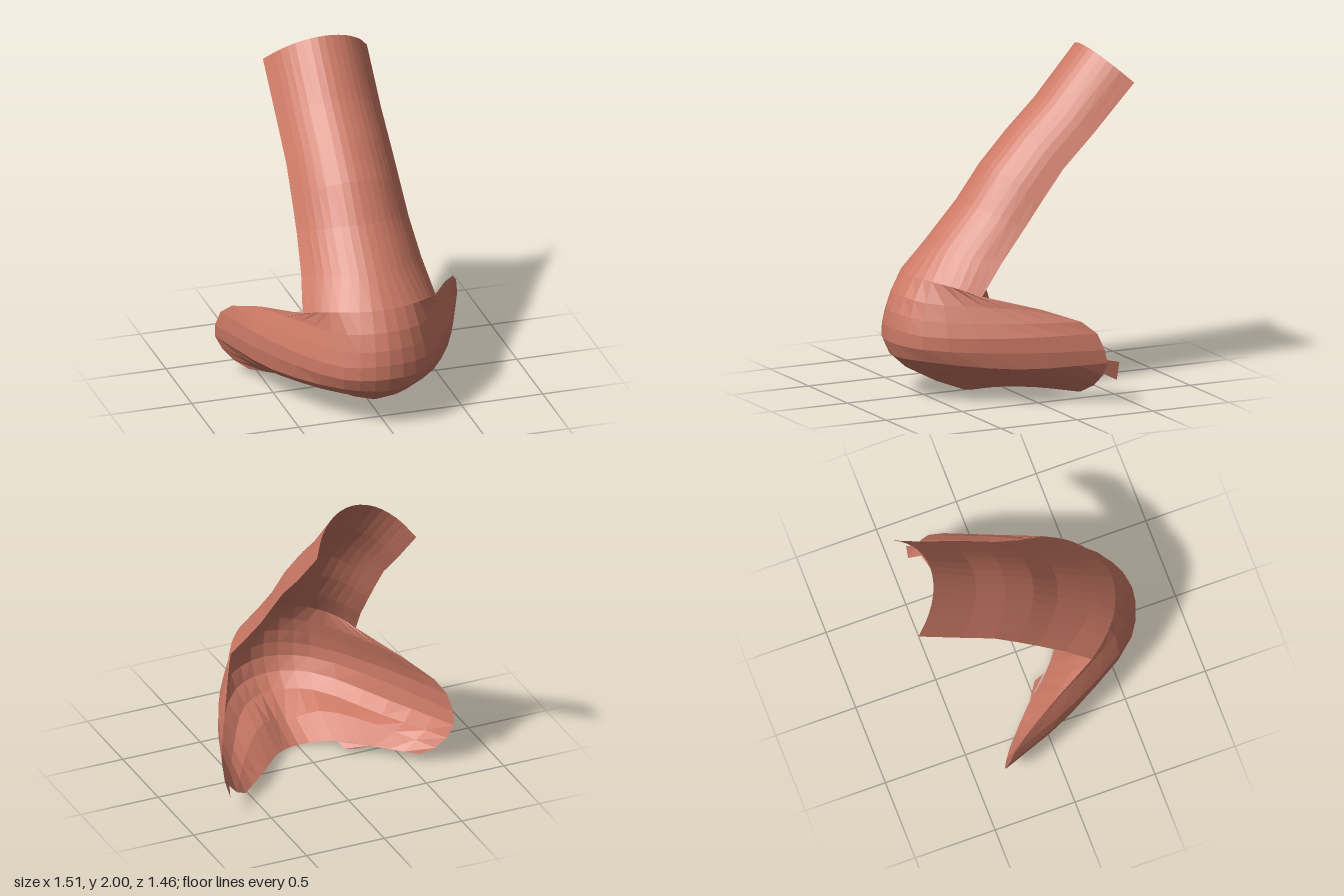
import * as THREE from 'three';

const SKIN = new THREE.MeshStandardMaterial({ color: 0xcd7a66, flatShading: true, side: THREE.DoubleSide });
SKIN.name = 'skin';

// Bridge sections: centre y, z, then edge x, y, z
const BRIDGE = [
  [2.0, -0.54, 0.32, 1.81, -0.73],
  [1.7, -0.275, 0.32, 1.53, -0.46],
  [1.53, -0.095, 0.325, 1.34, -0.26],
  [1.34, 0.085, 0.335, 1.17, -0.12],
  [1.13, 0.24, 0.345, 1.02, 0.0],
  [0.89, 0.455, 0.37, 0.83, 0.165],
];

// Tip and wing sections: centre, two points along the side, rear edge
const WINGS = [
  [[0, 0.73, 0.6], [0.2, 0.72, 0.54], [0.33, 0.69, 0.43], [0.41, 0.645, 0.32]],
  [[0, 0.62, 0.67], [0.22, 0.6, 0.59], [0.42, 0.585, 0.3], [0.57, 0.57, 0]],
  [[0, 0.52, 0.71], [0.24, 0.5, 0.61], [0.48, 0.49, 0.25], [0.68, 0.5, -0.2]],
  [[0, 0.43, 0.725], [0.25, 0.41, 0.63], [0.53, 0.41, 0.2], [0.725, 0.43, -0.28]],
  [[0, 0.34, 0.725], [0.25, 0.33, 0.63], [0.55, 0.32, 0.16], [0.745, 0.33, -0.32]],
  [[0, 0.25, 0.69], [0.24, 0.25, 0.59], [0.54, 0.22, 0.14], [0.74, 0.25, -0.34]],
  [[0, 0.175, 0.61], [0.22, 0.18, 0.5], [0.48, 0.155, 0.1], [0.7, 0.17, -0.33]],
  [[0, 0.07, 0.41], [0.18, 0.135, 0.33], [0.42, 0.13, 0.05], [0.64, 0.1, -0.3]],
  [[0, 0, 0.23], [0.18, 0.04, 0.12], [0.35, 0.055, -0.06], [0.56, 0.05, -0.25]],
];

// Turn a bridge section into the same four-point form
function bridgeSection([cy, cz, ex, ey, ez]) {
  return [[0, 0], [0.4, 0.13], [0.75, 0.5], [1, 1]].map(([s, f]) =>
    [ex * s, cy + (ey - cy) * f, cz + (ez - cz) * f]);
}

// Mirror a half section and smooth it into a full row of points
function fullRow(half, columns) {
  const right = half.map(p => new THREE.Vector3(...p));
  const left = half.slice(1).reverse().map(([x, y, z]) => new THREE.Vector3(-x, y, z));
  return new THREE.CatmullRomCurve3([...left, ...right]).getPoints(columns);
}

// Skin a list of equal-length rows
function loft(rows) {
  const n = rows[0].length;
  const index = [];
  for (let i = 0; i < rows.length - 1; i++) {
    for (let j = 0; j < n - 1; j++) {
      const a = i * n + j, b = a + n;
      index.push(a, b, b + 1, a, b + 1, a + 1);
    }
  }
  const geometry = new THREE.BufferGeometry().setFromPoints(rows.flat());
  geometry.setIndex(index);
  geometry.computeVertexNormals();
  return geometry;
}

// Small ragged flap from four corners
function flap(corners) {
  const [a, b, c, d] = corners.map(p => new THREE.Vector3(...p));
  return loft([[a, b], [d, c]]);
}

export function createModel() {
  const group = new THREE.Group();
  group.name = 'nose';
  const add = (name, geometry) => {
    const mesh = new THREE.Mesh(geometry, SKIN);
    mesh.name = name;
    group.add(mesh);
    return mesh;
  };

  // Open shell: bridge, tip and wings, meeting on a shared row
  const columns = 18;
  const wingRows = WINGS.map(half => fullRow(half, columns));
  const bridgeRows = BRIDGE.map(s => fullRow(bridgeSection(s), columns));
  add('bridge', loft([...bridgeRows, wingRows[0]])).position.x = -0.01;
  add('tipAndWings', loft(wingRows)).position.x = -0.01;

  // Ragged bits on the rim
  add('leftRimFlap', flap([[0.73, 0.27, -0.33], [0.755, 0.255, -0.405], [0.72, 0.14, -0.405], [0.69, 0.185, -0.325]]));
  add('rightRimFlap', flap([[-0.34, 0.055, -0.04], [-0.28, 0.03, 0], [-0.215, 0.02, 0.04], [-0.2, 0.045, 0.1]]));
  return group;
}
